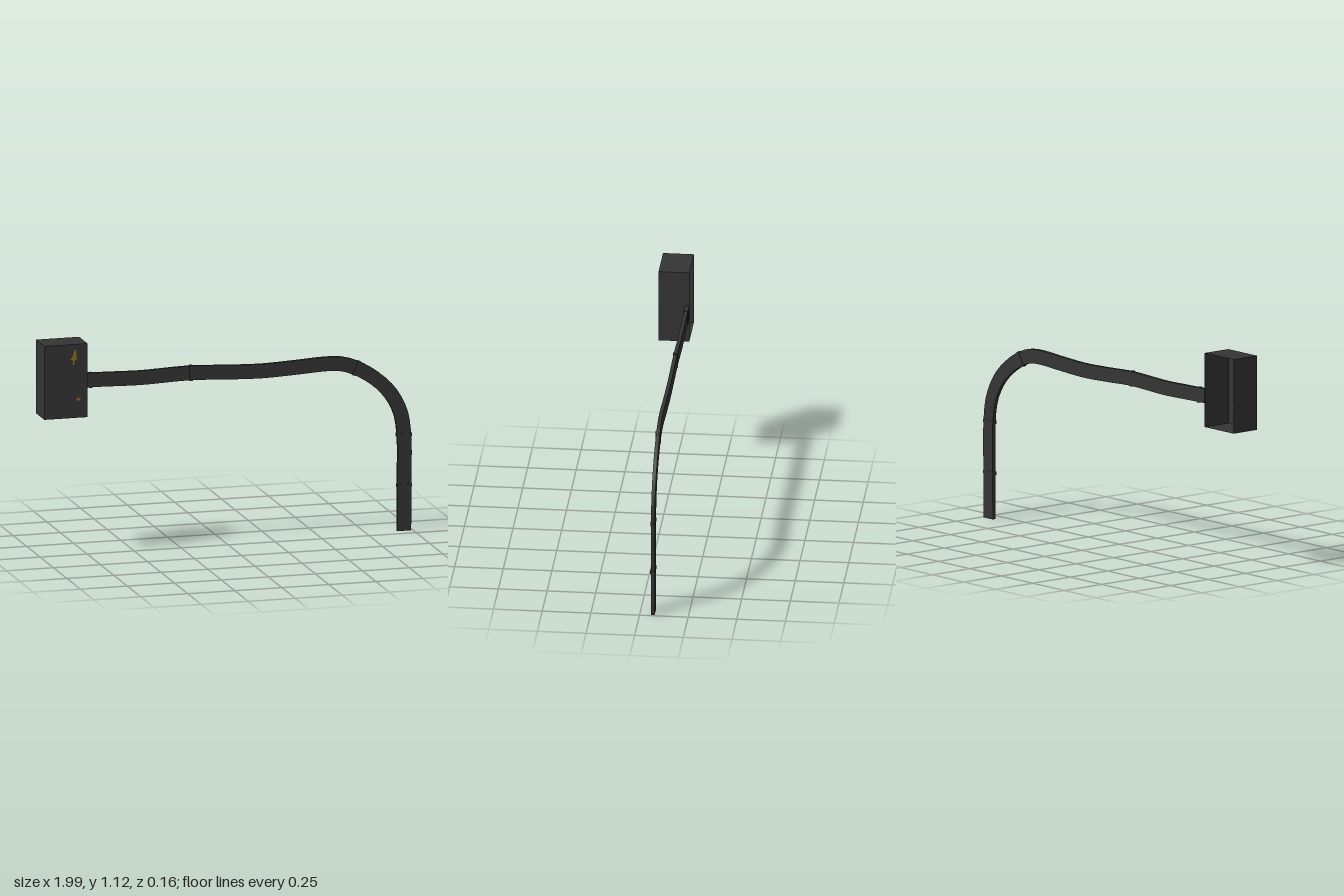
import * as THREE from 'three';
import { toCreasedNormals } from 'three/addons/utils/BufferGeometryUtils.js';

export function createModel() {
  const model = new THREE.Group();
  model.name = 'wallBoxWithConduit';
  const darkMetal = new THREE.MeshStandardMaterial({ color: 0x353535, side: THREE.DoubleSide });
  darkMetal.name = 'dark metal';
  const ochrePaint = new THREE.MeshStandardMaterial({ color: 0x94701a, side: THREE.DoubleSide });
  ochrePaint.name = 'ochre paint';

  const add = (name, geometry, material, parent = model) => {
    const mesh = new THREE.Mesh(geometry, material);
    mesh.name = name;
    parent.add(mesh);
    return mesh;
  };

  // Junction box: thin sheet walls, open at the back
  const box = new THREE.Group();
  box.name = 'junctionBox';
  box.position.set(-0.885, 0.931, 0);
  model.add(box);
  const W = 0.23, H = 0.386, D = 0.158;
  const panel = (name, w, h, pos, rx, ry) => {
    const mesh = add(name, new THREE.PlaneGeometry(w, h), darkMetal, box);
    mesh.position.set(...pos);
    mesh.rotation.set(rx, ry, 0);
  };
  panel('boxFront', W, H, [0, 0, D / 2], 0, 0);
  for (const s of [-1, 1]) {
    panel(s > 0 ? 'boxLeftWall' : 'boxRightWall', D, H, [s * W / 2, 0, 0], 0, s * Math.PI / 2);
    panel(s > 0 ? 'boxTop' : 'boxBottom', W, D, [0, s * H / 2, 0], -s * Math.PI / 2, 0);
  }

  // Worn paint flecks showing on both faces of the front sheet
  const flecks = [
    [[-0.842, 1.09], [-0.832, 1.098], [-0.829, 1.06], [-0.826, 1.045], [-0.838, 1.04],
      [-0.842, 1.012], [-0.851, 1.022], [-0.846, 1.038], [-0.862, 1.045], [-0.85, 1.06]],
    [[-0.83, 0.843], [-0.82, 0.84], [-0.816, 0.85], [-0.814, 0.838], [-0.805, 0.836],
      [-0.808, 0.828], [-0.826, 0.829]],
  ];
  for (const outline of flecks) {
    const shape = new THREE.Shape(outline.map(([x, y]) => new THREE.Vector2(x, y)));
    for (const z of [D / 2 + 0.001, D / 2 - 0.001]) {
      add('paintFleck', new THREE.ShapeGeometry(shape), ochrePaint).position.z = z;
    }
  }

  // Flat conduit: a strip that follows a gently sagging, then bending, centreline
  const path = new THREE.CatmullRomCurve3([
    [-0.775, 0.899], [-0.6, 0.895], [-0.45, 0.892], [-0.18, 0.9], [0.02, 0.891], [0.2, 0.886],
    [0.38, 0.893], [0.54, 0.901], [0.62, 0.896], [0.69, 0.874], [0.79, 0.815], [0.875, 0.735],
    [0.933, 0.628], [0.953, 0.505], [0.954, 0.24], [0.953, 0],
  ].map(([x, y]) => new THREE.Vector3(x, y, 0)), false, 'centripetal');
  const half = 0.037, N = 60;
  const upper = [], lower = [];
  for (let i = 0; i <= N; i++) {
    const p = path.getPointAt(i / N), t = path.getTangentAt(i / N);
    upper.push(new THREE.Vector2(p.x - t.y * half, p.y + t.x * half));
    lower.unshift(new THREE.Vector2(p.x + t.y * half, p.y - t.x * half));
  }
  // Square off the end on the ground
  upper[N].y = 0;
  lower[0].y = 0;
  const strip = new THREE.ExtrudeGeometry(new THREE.Shape([...upper, ...lower]),
    { depth: 0.019, bevelEnabled: false });
  add('conduit', toCreasedNormals(strip, 0.5), darkMetal).position.z = -0.077;

  // Clamp bands across the conduit: x, y, angle
  const bands = [[-0.715, 0.897, 0], [-0.18, 0.9, 0], [0.7, 0.869, -0.5],
    [0.952, 0.505, -Math.PI / 2], [0.954, 0.238, -Math.PI / 2]];
  for (const [x, y, angle] of bands) {
    const band = add('clampBand', new THREE.BoxGeometry(0.016, 0.08, 0.024), darkMetal);
    band.position.set(x, y, -0.0665);
    band.rotation.z = angle;
  }
  return model;
}
